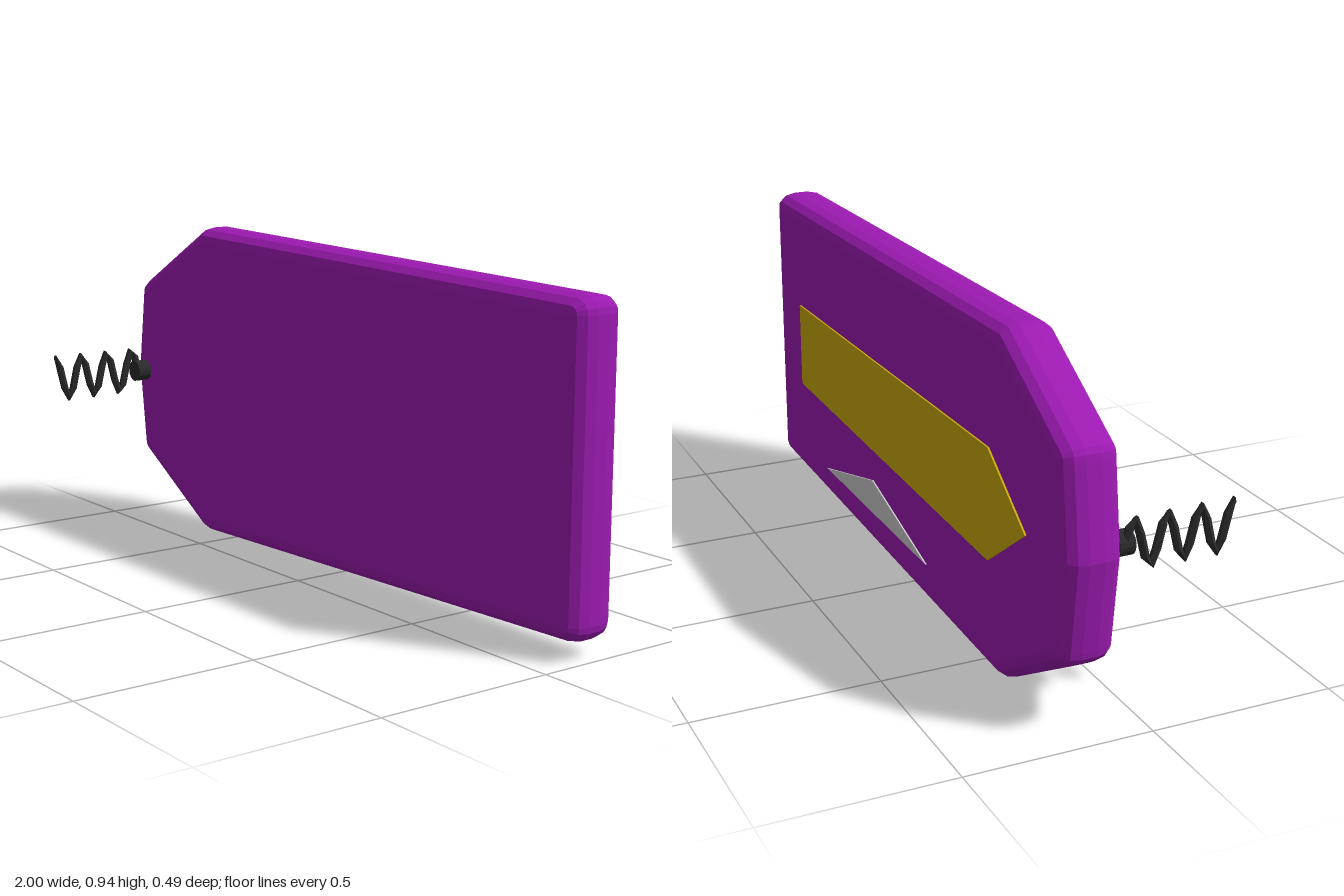
import * as THREE from 'three';
import { ConvexGeometry } from 'three/addons/geometries/ConvexGeometry.js';

const mat = (color) => new THREE.MeshStandardMaterial({ color, side: THREE.DoubleSide, flatShading: true });

// Thin plate from an outline, lying between z and z + depth
function plate(name, outline, z, depth, color) {
  const shape = new THREE.Shape(outline.map(([x, y]) => new THREE.Vector2(x, y)));
  const geo = new THREE.ExtrudeGeometry(shape, { depth, bevelEnabled: false });
  geo.translate(0, 0, z);
  const mesh = new THREE.Mesh(geo, mat(color));
  mesh.name = name;
  return mesh;
}

// Slab: inset outline corners, each swept by a flattened ball to round every edge
function slab() {
  const corners = [
    [0.955, 0.095], [0.955, 0.855], [-0.61, 0.895], [-0.925, 0.715],
    [-0.955, 0.475], [-0.925, 0.235], [-0.61, 0.05],
  ];
  const r = 0.045, rz = 0.055, half = 0.075, zMid = -0.16;
  const points = [];
  for (const [x, y] of corners) {
    for (let ring = 0; ring <= 3; ring++) {
      const phi = (ring / 3) * Math.PI / 2;
      const count = ring === 3 ? 1 : 16;
      for (let i = 0; i < count; i++) {
        const a = (i / 16) * Math.PI * 2, d = r * Math.cos(phi);
        const z = half - rz + rz * Math.sin(phi);
        for (const s of [-1, 1]) {
          points.push(new THREE.Vector3(x + d * Math.cos(a), y + d * Math.sin(a), zMid + s * z));
        }
      }
    }
  }
  const mesh = new THREE.Mesh(new ConvexGeometry(points), mat(0x9c1ab1));
  mesh.name = 'body';
  return mesh;
}

// Flat zigzag spring running forward from the peg
class ZigzagCurve extends THREE.Curve {
  getPoint(t, target = new THREE.Vector3()) {
    const turns = 3.3 * t;
    return target.set(-0.93, 0.472 + 0.063 * Math.cos(turns * Math.PI * 2), 0.24 - 0.09 * turns);
  }
  getPointAt(t, target) { return this.getPoint(t, target); }
  getTangentAt(t, target) { return this.getTangent(t, target); }
}

export function createModel() {
  const model = new THREE.Group();
  model.name = 'tag';
  model.add(slab());

  // Decorations on the back
  model.add(plate('pointedStripe', [
    [0.77, 0.35], [0.77, 0.6], [-0.58, 0.623], [-0.79, 0.475], [-0.58, 0.323],
  ], -0.244, 0.005, 0xc9a80c));
  model.add(plate('triangle', [[-0.2, 0.15], [0.55, 0.15], [0.18, 0.25]], -0.249, 0.004, 0xcccccc));

  // Peg and spring at the narrow end
  const dark = mat(0x2a2a2c);
  const peg = new THREE.Mesh(new THREE.CylinderGeometry(0.032, 0.032, 0.042, 16), dark);
  peg.name = 'peg';
  peg.rotation.x = Math.PI / 2;
  peg.position.set(-0.912, 0.472, -0.051);
  model.add(peg);

  const coil = new THREE.Mesh(new THREE.TubeGeometry(new ZigzagCurve(), 20, 0.011, 6), dark);
  coil.name = 'spring';
  model.add(coil);
  return model;
}
